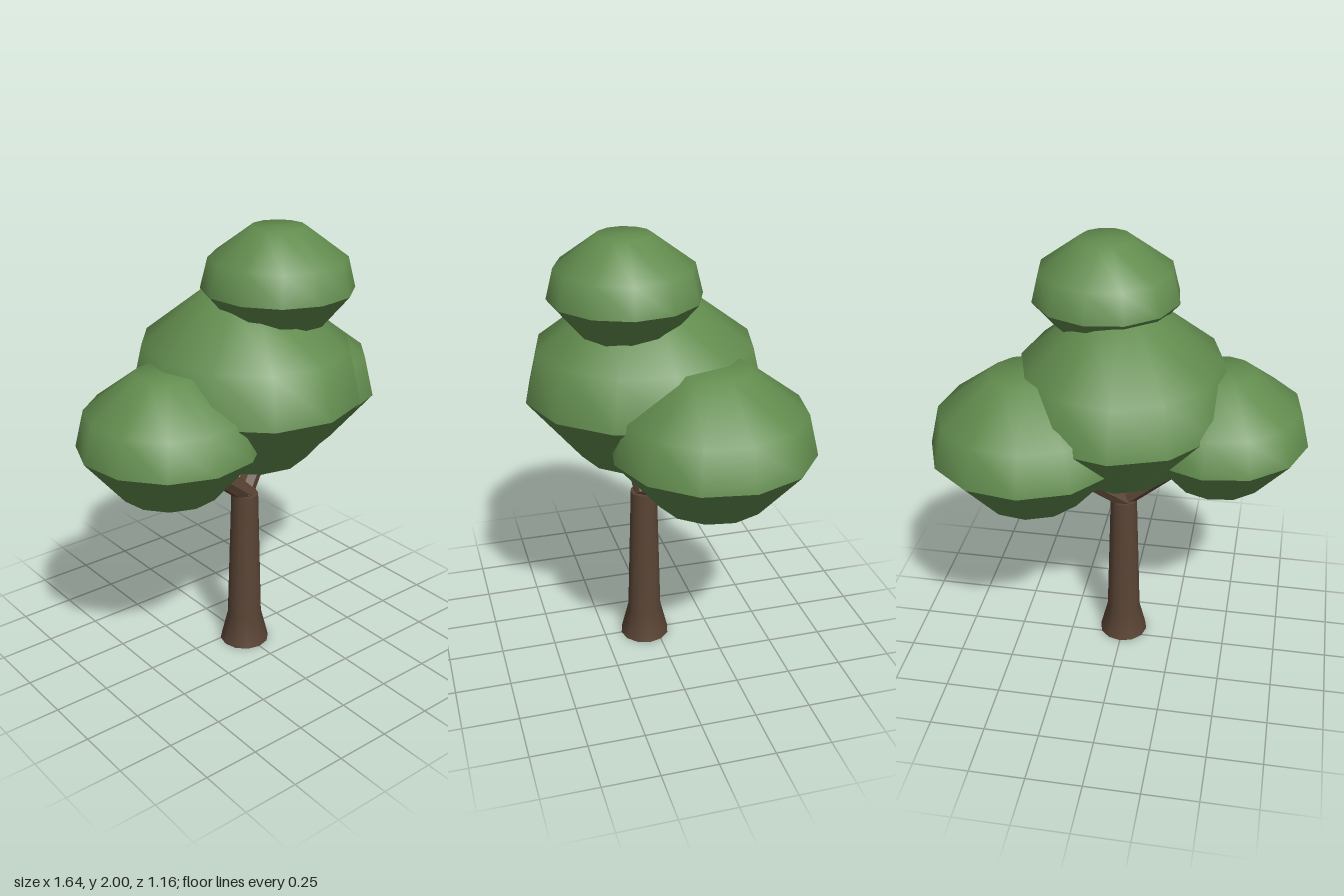
import * as THREE from 'three';

const SIDES = 12;

// Surface of revolution, profile listed bottom to top as [radius, y]
function turned(profile, material, name, phase = 0) {
  const points = profile.map(([r, y]) => new THREE.Vector2(r, y));
  const mesh = new THREE.Mesh(new THREE.LatheGeometry(points, SIDES, phase), material);
  mesh.name = name;
  return mesh;
}

// Foliage clump: smooth dome, tapering skirt and flat base, with a sharp rim
function foliage({ name, x, z, rx, rz = rx, base, rim, mid, top, turn }, material) {
  const clump = new THREE.Group();
  clump.name = name;
  const phase = THREE.MathUtils.degToRad(turn);
  clump.add(
    turned([[1, rim], [0.9, mid], [0.355, top], [0, top]], material, 'dome', phase),
    turned([[0.55, base], [1, rim]], material, 'skirt', phase),
    turned([[0, base], [0.55, base]], material, 'base', phase),
  );
  clump.position.set(x, 0, z);
  clump.scale.set(rx, 1, rz);
  return clump;
}

// Straight faceted limb between two points
function limb(from, to, radius, material, name) {
  const a = new THREE.Vector3(...from);
  const dir = new THREE.Vector3(...to).sub(a);
  const geometry = new THREE.CylinderGeometry(radius * 0.95, radius, dir.length(), 7).toNonIndexed();
  geometry.computeVertexNormals();
  const mesh = new THREE.Mesh(geometry, material);
  mesh.name = name;
  mesh.position.copy(a).addScaledVector(dir, 0.5);
  mesh.quaternion.setFromUnitVectors(new THREE.Vector3(0, 1, 0), dir.normalize());
  return mesh;
}

export function createModel() {
  const tree = new THREE.Group();
  tree.name = 'tree';

  const bark = new THREE.MeshStandardMaterial({ color: 0x5a4435 });
  bark.name = 'bark brown';
  const leaf = new THREE.MeshStandardMaterial({ color: 0x628c4e });
  leaf.name = 'leaf green';

  // Trunk with flared foot and closed ends
  const trunk = new THREE.Group();
  trunk.name = 'trunk';
  trunk.add(
    turned([[0.115, 0], [0.08, 0.14], [0.062, 0.77]], bark, 'trunkSides'),
    turned([[0, 0], [0.115, 0]], bark, 'trunkFoot'),
    turned([[0.062, 0.77], [0, 0.77]], bark, 'trunkTop'),
  );
  trunk.position.z = 0.055;
  tree.add(trunk);

  // Forked branches reaching into the side clumps
  tree.add(
    limb([0.02, 0.76, 0.055], [-0.38, 1.08, 0.08], 0.046, bark, 'rightBranch'),
    limb([-0.02, 0.76, 0.06], [0.34, 1.08, -0.12], 0.046, bark, 'leftBranch'),
  );

  // Foliage
  const clumps = [
    { name: 'middleFoliage', x: 0.005, z: 0.05, rx: 0.49, rz: 0.53, base: 0.99, rim: 1.28, mid: 1.5, top: 1.72, turn: 3 },
    { name: 'topFoliage', x: 0.093, z: 0.155, rx: 0.326, base: 1.565, rim: 1.74, mid: 1.87, top: 2, turn: -7 },
    { name: 'rightFoliage', x: -0.43, z: 0.085, rx: 0.391, base: 0.93, rim: 1.14, mid: 1.3, top: 1.46, turn: -6 },
    { name: 'leftFoliage', x: 0.382, z: -0.145, rx: 0.437, base: 0.908, rim: 1.14, mid: 1.32, top: 1.5, turn: 6 },
  ];
  for (const clump of clumps) tree.add(foliage(clump, leaf));

  return tree;
}
